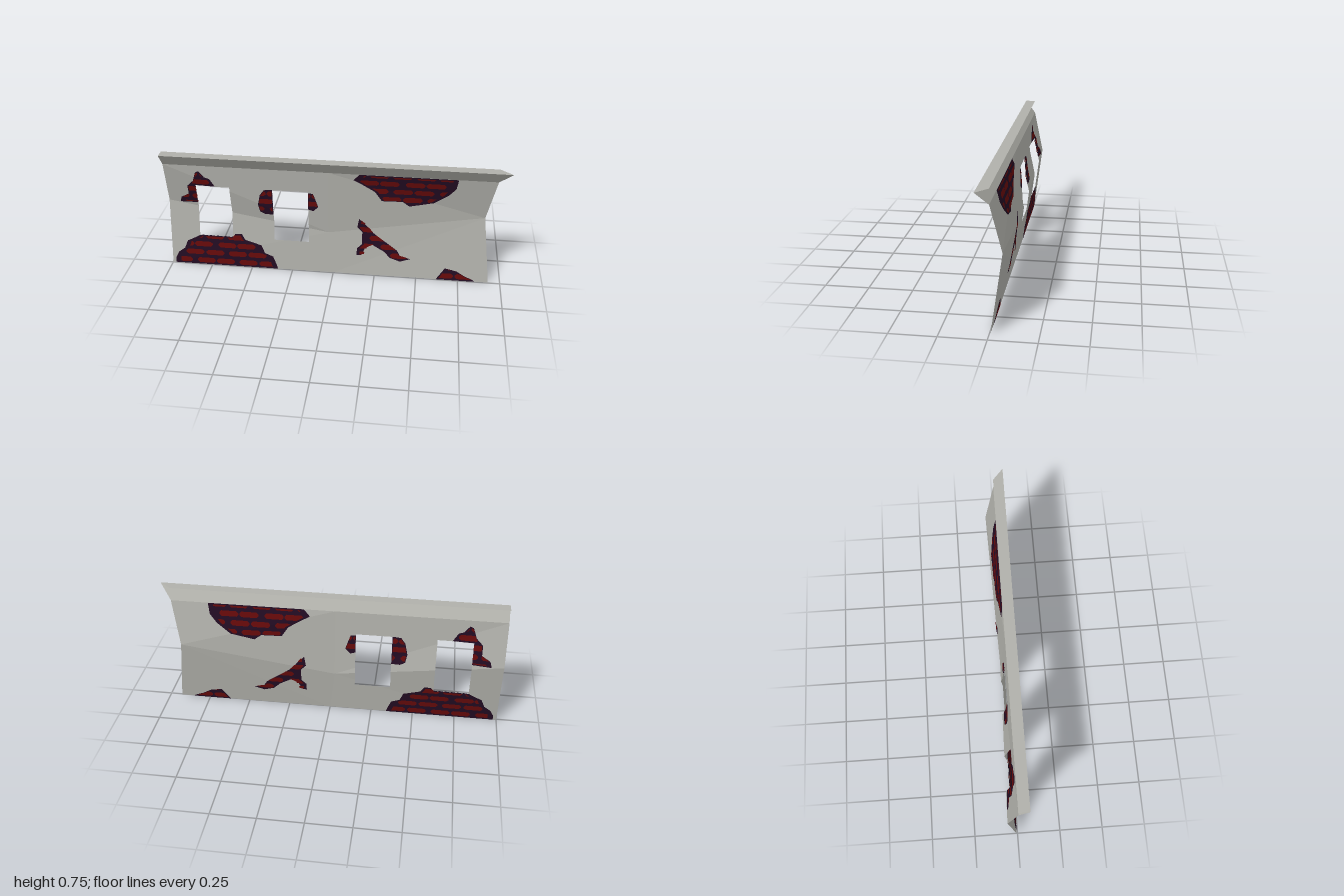
import * as THREE from 'three';

const material = (name, color) => {
  const m = new THREE.MeshStandardMaterial({ color, side: THREE.DoubleSide });
  m.name = name;
  return m;
};

// Corner points of the folded wall sheet
const Z0 = -0.005;
const TL = [-1, 0.675, Z0], TM = [-0.03, 0.675, Z0], TR = [0.93, 0.675, Z0];
const ML = [-1, 0.41, -0.06], C = [-0.03, 0.265, -0.033], MR = [0.88, 0.41, -0.06];
const BL = [-1, 0, Z0], BM = [0, 0, Z0], BR = [0.93, 0, Z0];

// Facets, counter-clockwise from the front
const facets = [
  [TL, ML, C], [TL, C, TM], [ML, BL, C], [BL, BM, C],
  [TM, C, MR], [TM, MR, TR], [C, BM, MR], [BM, BR, MR],
];

const rect = (x0, y0, x1, y1) => [[x0, y0], [x1, y0], [x1, y1], [x0, y1]];

// Cut a polygon down to the part inside a convex counter-clockwise polygon
function clip(poly, convex) {
  let out = poly;
  convex.forEach((a, i) => {
    const b = convex[(i + 1) % convex.length];
    const side = (p) => (b[0] - a[0]) * (p[1] - a[1]) - (b[1] - a[1]) * (p[0] - a[0]);
    const next = [];
    out.forEach((p, j) => {
      const q = out[(j + 1) % out.length];
      const sp = side(p), sq = side(q);
      if (sp >= 0) next.push(p);
      if ((sp > 0 && sq < 0) || (sp < 0 && sq > 0)) {
        const t = sp / (sp - sq);
        next.push([p[0] + (q[0] - p[0]) * t, p[1] + (q[1] - p[1]) * t]);
      }
    });
    out = next;
  });
  return out;
}

// Depth of a facet's plane at x, y
function depth([a, b, c], x, y) {
  const d = (b[1] - c[1]) * (a[0] - c[0]) + (c[0] - b[0]) * (a[1] - c[1]);
  const u = ((b[1] - c[1]) * (x - c[0]) + (c[0] - b[0]) * (y - c[1])) / d;
  const v = ((c[1] - a[1]) * (x - c[0]) + (a[0] - c[0]) * (y - c[1])) / d;
  return u * a[2] + v * b[2] + (1 - u - v) * c[2];
}

// Lay flat polygons onto the folded wall, once for every offset
function drape(polys, offsets) {
  const pos = [];
  for (const poly of polys) for (const facet of facets) {
    const part = clip(poly, facet).map((p) => new THREE.Vector2(p[0], p[1]));
    if (part.length < 3) continue;
    for (const tri of THREE.ShapeUtils.triangulateShape(part, [])) {
      const pts = tri.map((i) => part[i]);
      const area = THREE.ShapeUtils.area(pts);
      if (Math.abs(area) < 1e-8) continue;
      if (area < 0) pts.reverse();
      for (const o of offsets) {
        for (const p of pts) pos.push(p.x, p.y, depth(facet, p.x, p.y) + o);
      }
    }
  }
  const g = new THREE.BufferGeometry();
  g.setAttribute('position', new THREE.Float32BufferAttribute(pos, 3));
  g.computeVertexNormals();
  return g;
}

// Flat strip between two edges
function strip(a, b, c, d) {
  const g = new THREE.BufferGeometry();
  g.setAttribute('position', new THREE.Float32BufferAttribute([a, b, c, a, c, d].flat(), 3));
  g.computeVertexNormals();
  return g;
}

// Areas where the plaster has fallen off
const patches = {
  upperRightPatch: [[0.115, 0.635], [0.15, 0.675], [0.71, 0.675], [0.7, 0.61], [0.66, 0.56], [0.58, 0.5],
    [0.44, 0.47], [0.4, 0.5], [0.28, 0.5], [0.24, 0.56], [0.16, 0.61]],
  lowerLeftPatch: [[-0.98, 0], [-0.98, 0.03], [-0.96, 0.07], [-0.92, 0.1], [-0.9, 0.15], [-0.84, 0.18],
    [-0.82, 0.193], [-0.615, 0.193], [-0.6, 0.215], [-0.56, 0.215], [-0.54, 0.18], [-0.44, 0.15],
    [-0.42, 0.1], [-0.37, 0.08], [-0.35, 0.03], [-0.34, 0]],
  firstWindowPatch: [[-0.93, 0.405], [-0.82, 0.41], [-0.82, 0.54], [-0.7, 0.54], [-0.73, 0.59], [-0.76, 0.6],
    [-0.79, 0.64], [-0.81, 0.63], [-0.83, 0.57], [-0.87, 0.53], [-0.87, 0.47], [-0.92, 0.44]],
  secondWindowLeftPatch: [[-0.36, 0.365], [-0.36, 0.54], [-0.41, 0.535], [-0.435, 0.5], [-0.45, 0.43],
    [-0.44, 0.38], [-0.41, 0.365]],
  secondWindowRightPatch: [[-0.15, 0.42], [-0.12, 0.41], [-0.09, 0.44], [-0.1, 0.47], [-0.12, 0.53], [-0.15, 0.53]],
  middlePatch: [[0.15, 0.37], [0.14, 0.31], [0.17, 0.28], [0.17, 0.2], [0.14, 0.17], [0.14, 0.125], [0.17, 0.13],
    [0.19, 0.18], [0.23, 0.2], [0.3, 0.16], [0.34, 0.12], [0.4, 0.1], [0.46, 0.12], [0.4, 0.135],
    [0.38, 0.17], [0.34, 0.2], [0.27, 0.25], [0.22, 0.29], [0.19, 0.33]],
  lowerRightPatch: [[0.62, 0], [0.64, 0.03], [0.67, 0.075], [0.74, 0.06], [0.79, 0.03], [0.84, 0.01], [0.85, 0]],
};

// Staggered bricks with cut corners, kept inside a slightly shrunken patch
function bricksIn(patch) {
  const xs = patch.map((p) => p[0]), ys = patch.map((p) => p[1]);
  const x0 = Math.min(...xs), x1 = Math.max(...xs), y0 = Math.min(...ys), y1 = Math.max(...ys);
  const cx = (x0 + x1) / 2, cy = (y0 + y1) / 2;
  const inner = patch.map(([x, y]) => [cx + (x - cx) * 0.9, cy + (y - cy) * 0.94]);
  const W = 0.132, H = 0.054, w = 0.056, h = 0.0165, k = 0.012;
  const list = [];
  for (let r = Math.floor(y0 / H); r * H < y1; r++) {
    for (let c = Math.floor(x0 / W) - 1; c * W < x1 + W; c++) {
      const x = (c + (r % 2) * 0.5 + 0.06 * Math.sin(r * 5 + c * 3)) * W;
      const y = (r + 0.5) * H;
      const brick = [[x - w, y - h + k], [x - w + k, y - h], [x + w - k, y - h], [x + w, y - h + k],
        [x + w, y + h - k], [x + w - k, y + h], [x - w + k, y + h], [x - w, y + h - k]];
      const cut = clip(inner, brick);
      if (cut.length > 2) list.push(cut);
    }
  }
  return list;
}

export function createModel() {
  const plaster = material('grey plaster', 0xb0b0aa);
  const mortar = material('dark mortar', 0x220c22);
  const brickRed = material('brick red', 0x650a0a);
  const group = new THREE.Group();
  group.name = 'wallPanel';
  const add = (name, geometry, mat) => {
    const mesh = new THREE.Mesh(geometry, mat);
    mesh.name = name;
    group.add(mesh);
  };

  // Wall sheet around the two window openings
  add('wall', drape([
    rect(-1, 0, 1, 0.193), rect(-1, 0.538, 1, 0.675),
    rect(-1, 0.193, -0.82, 0.538), rect(-0.615, 0.193, -0.36, 0.538), rect(-0.15, 0.193, 1, 0.538),
  ], [0]), plaster);

  // Cornice: sloping underside and flat top, mitred at one end and open behind
  const lipL = [-1, 0.755, 0.055], lipR = [1, 0.755, 0.055];
  add('corniceUnderside', strip(TL, TR, lipR, lipL), plaster);
  add('corniceTop', strip(lipL, lipR, [0.93, 0.755, Z0], [-1, 0.755, Z0]), plaster);

  // Bare brickwork on both faces
  for (const [name, outline] of Object.entries(patches)) {
    add(name, drape([outline], [-0.0015, 0.0015]), mortar);
    add(name + 'Bricks', drape(bricksIn(outline), [-0.003, 0.003]), brickRed);
  }
  return group;
}
